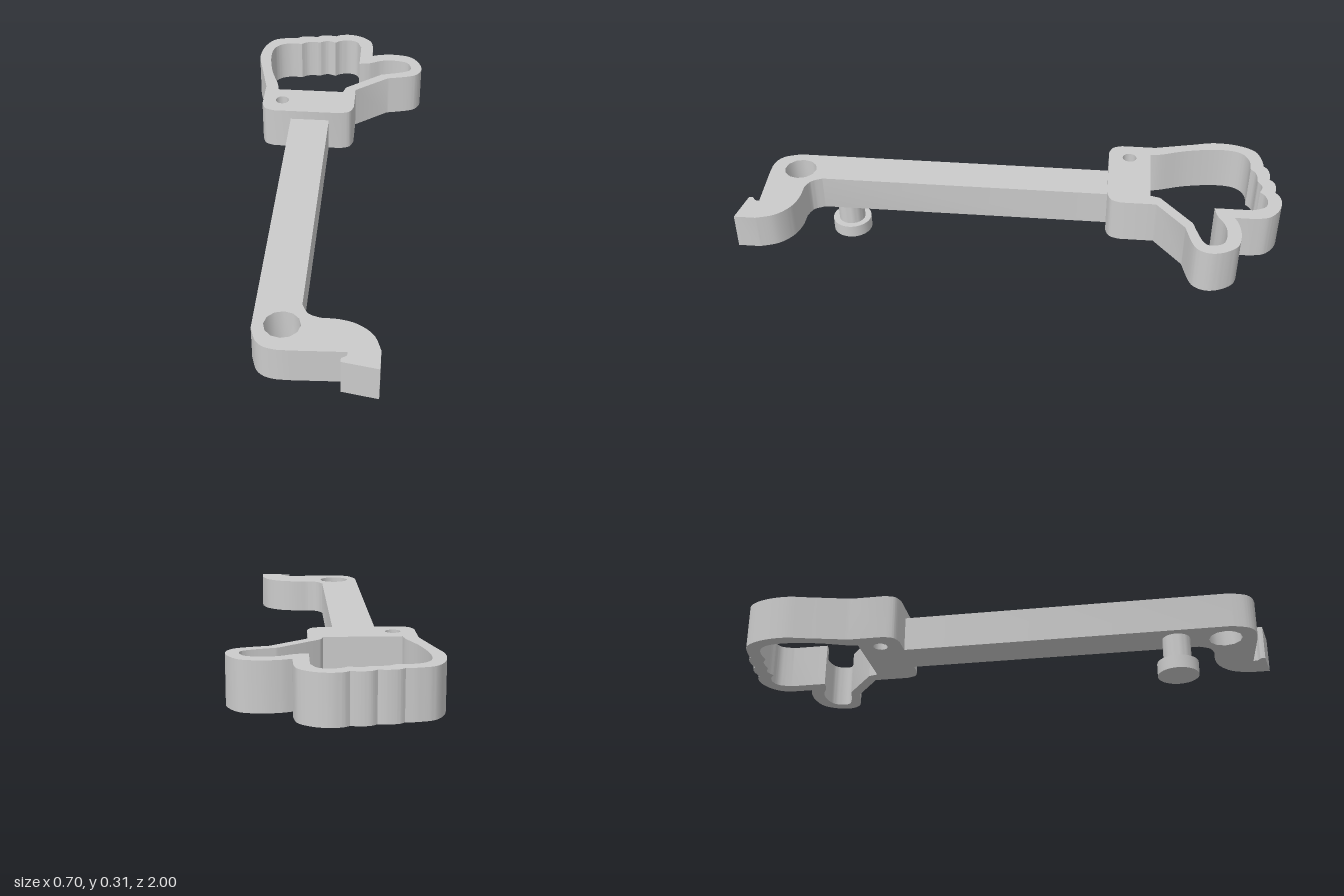
import * as THREE from 'three';
import { toCreasedNormals } from 'three/addons/utils/BufferGeometryUtils.js';

const material = new THREE.MeshStandardMaterial({ color: 0xcccccc });
const BASE = 0.145; // underside of the flat body

// Outlines are in (x, z): each run is a straight edge to one point, or a smooth curve through several.
function trace(path, start, runs) {
  const v = ([x, z]) => new THREE.Vector2(x, -z);
  path.moveTo(start[0], -start[1]);
  for (const run of runs) {
    if (run.length === 1) path.lineTo(run[0][0], -run[0][1]);
    else path.splineThru(run.map(v));
  }
  return path;
}

function roundHole(x, z, r) {
  return new THREE.Path().absarc(x, -z, r, 0, Math.PI * 2, true);
}

// Upright plate from an outline with holes
function plate(name, shape, height) {
  const flat = new THREE.ExtrudeGeometry(shape, { depth: height, bevelEnabled: false, curveSegments: 6 });
  flat.rotateX(-Math.PI / 2).translate(0, BASE, 0);
  const mesh = new THREE.Mesh(toCreasedNormals(flat, 0.6), material);
  mesh.name = name;
  return mesh;
}

function createHand() {
  const shape = trace(new THREE.Shape(), [-0.295, -0.54], [
    // wrist block with rounded corners
    [[-0.295, -0.41]],
    [[-0.28, -0.375], [-0.245, -0.36]],
    [[0.027, -0.36]],
    [[0.062, -0.375], [0.077, -0.41]],
    [[0.077, -0.54]],
    // thumb
    [[0.205, -0.642]],
    [[0.295, -0.665], [0.33, -0.688], [0.345, -0.73], [0.332, -0.78], [0.295, -0.825], [0.23, -0.84], [0.17, -0.835], [0.132, -0.822]],
    // index finger, then the three smaller knuckles
    [[0.132, -0.89]],
    [[0.12, -0.945], [0.08, -0.983], [0.03, -1.0], [-0.013, -0.996], [-0.036, -0.982]],
    [[-0.07, -0.987], [-0.1, -0.983], [-0.12, -0.968]],
    [[-0.15, -0.972], [-0.185, -0.967], [-0.205, -0.953]],
    [[-0.25, -0.949], [-0.305, -0.928], [-0.34, -0.865], [-0.35, -0.775], [-0.33, -0.685], [-0.295, -0.54]],
  ]);
  const opening = trace(new THREE.Path(), [-0.243, -0.52], [
    [[-0.25, -0.563], [-0.283, -0.66], [-0.302, -0.765], [-0.3, -0.84], [-0.278, -0.882], [-0.235, -0.902], [-0.182, -0.902]],
    [[-0.16, -0.918], [-0.135, -0.923], [-0.103, -0.922]],
    [[-0.07, -0.937], [-0.035, -0.925]],
    [[-0.013, -0.942], [0.025, -0.95], [0.06, -0.935], [0.08, -0.89]],
    [[0.08, -0.752]],
    [[0.124, -0.76], [0.177, -0.785], [0.23, -0.79], [0.283, -0.775], [0.3, -0.73], [0.275, -0.7], [0.177, -0.67]],
    [[0.035, -0.555]],
    [[0.025, -0.52]],
  ]);
  shape.holes.push(opening, roundHole(-0.217, -0.44, 0.027));
  return plate('hand', shape, 0.17);
}

function createHandle() {
  const shape = trace(new THREE.Shape(), [-0.175, -0.36], [
    [[-0.175, 0.85]],
    [[-0.155, 0.905], [-0.125, 0.932], [-0.085, 0.942]],
    // underside of the hook and its notch
    [[-0.04, 0.942]],
    [[0.14, 0.934]],
    [[0.138, 0.95], [0.122, 0.962], [0.122, 0.978]],
    [[0.245, 1.0]],
    // rounded back of the hook
    [[0.245, 0.92]],
    [[0.22, 0.855], [0.17, 0.81], [0.11, 0.79], [0.042, 0.787]],
    [[0.002, 0.77], [-0.021, 0.73]],
    [[-0.021, -0.36]],
  ]);
  shape.holes.push(roundHole(-0.077, 0.828, 0.061));
  return plate('handle', shape, 0.133);
}

// Flanged pin under the handle
function createPin() {
  const profile = [[0, 0], [0.075, 0], [0.075, 0.049], [0.051, 0.049], [0.051, BASE]]
    .map(([r, y]) => new THREE.Vector2(r, y));
  const mesh = new THREE.Mesh(toCreasedNormals(new THREE.LatheGeometry(profile, 40), 0.6), material);
  mesh.name = 'pin';
  mesh.position.set(-0.096, 0, 0.648);
  return mesh;
}

export function createModel() {
  const group = new THREE.Group();
  group.name = 'handHook';
  group.add(createHand(), createHandle(), createPin());
  return group;
}
